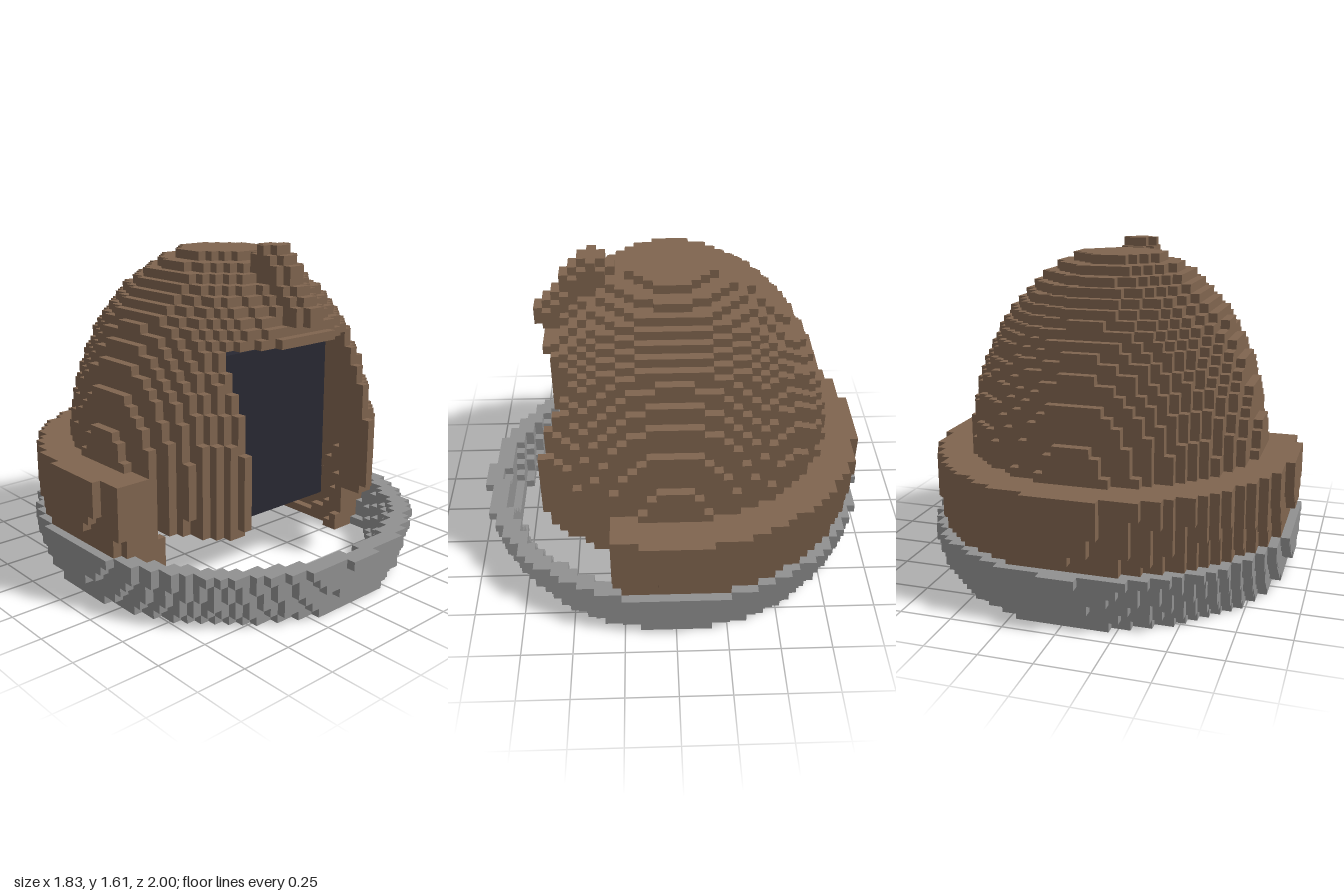
import * as THREE from 'three';

const V = 1 / 23; // edge of one cube
const HALF = 23, ROWS = 37;
const MID = 0.565; // height of the widest level

const ellipse = (x, z, rx, rz) => (x / rx) ** 2 + (z / rz) ** 2;
const ellipsoid = (x, y, z, rx, ry, rz) => ellipse(x, z, rx, rz) + ((y - MID) / ry) ** 2;

// Sloping stone ring at the foot
function inBase(x, y, z, j) {
  if (j > 5) return false;
  const r = [0.915, 0.935, 0.948, 0.96, 0.972, 0.983][j];
  const inner = r - 0.091;
  return ellipse(x, z, r * 0.946, r) <= 1 && ellipse(x, z, inner * 0.946, inner) > 1;
}

// Thick bowl-shaped band round the sides and back, open at the front, reaching down inside the ring
function inCollar(x, y, z, j, k) {
  if (j > 13 || k > 6) return false;
  return ellipsoid(x, y, z, 0.907, 1.21, 0.956) <= 1 && ellipsoid(x, y, z, 0.7, 1.21, 0.74) > 1;
}

// Hollow ellipsoid dome with a doorway cut through the front
function inDome(x, y, z, j) {
  if (j < 8) return false;
  if (ellipsoid(x, y, z, 0.735, 1.02, 0.78) > 1) return false;
  if (ellipsoid(x, y, z, 0.61, 0.9, 0.65) <= 1) return false;
  return !(z > 0.3 && Math.abs(x) < 9 * V && j < 27);
}

// Crest rising above the doorway: first and last cube of each row in z
const crestRows = { 29: [10, 14], 30: [10, 14], 31: [9, 13], 32: [8, 12], 33: [7, 11], 34: [5, 11], 35: [6, 10], 36: [7, 9] };
function inCrest(x, y, z, j, k) {
  const row = crestRows[j];
  if (!row || k < row[0] || k > row[1]) return false;
  const halfWidth = k === row[0] || k === row[1] ? 1 : 2;
  return Math.abs(x) < halfWidth * V;
}

const parts = [
  ['baseRing', inBase, 'stone'],
  ['collar', inCollar, 'wood'],
  ['dome', inDome, 'wood'],
  ['crest', inCrest, 'wood'],
];

// Index of the part that fills a cube, or -1
function partAt(i, j, k) {
  if (j < 0 || j >= ROWS) return -1;
  const x = (i + 0.5) * V, y = (j + 0.5) * V, z = (k + 0.5) * V;
  return parts.findIndex(([, test]) => test(x, y, z, j, k));
}

// Builds one geometry per part from the exposed cube faces
function buildVoxels() {
  const size = 2 * HALF + 2;
  const grid = new Int8Array(size * (ROWS + 2) * size);
  const at = (i, j, k) => ((j + 1) * size + i + HALF + 1) * size + k + HALF + 1;
  for (let j = -1; j <= ROWS; j++)
    for (let i = -HALF - 1; i <= HALF; i++)
      for (let k = -HALF - 1; k <= HALF; k++) grid[at(i, j, k)] = partAt(i, j, k);

  const buffers = parts.map(() => ({ pos: [], nor: [], idx: [] }));
  for (let j = 0; j < ROWS; j++)
    for (let i = -HALF; i < HALF; i++)
      for (let k = -HALF; k < HALF; k++) {
        const id = grid[at(i, j, k)];
        if (id < 0) continue;
        const { pos, nor, idx } = buffers[id];
        for (let axis = 0; axis < 3; axis++)
          for (const s of [-1, 1]) {
            const n = [0, 0, 0];
            n[axis] = s;
            if (grid[at(i + n[0], j + n[1], k + n[2])] >= 0) continue;
            const u = (axis + 1) % 3, w = (axis + 2) % 3, first = pos.length / 3;
            for (const [a, b] of [[0, 0], [1, 0], [1, 1], [0, 1]]) {
              const p = [i, j, k];
              p[axis] += s > 0 ? 1 : 0;
              p[u] += a;
              p[w] += b;
              pos.push(p[0] * V, p[1] * V, p[2] * V);
              nor.push(...n);
            }
            const order = s > 0 ? [0, 1, 2, 0, 2, 3] : [0, 2, 1, 0, 3, 2];
            idx.push(...order.map((o) => first + o));
          }
      }
  return buffers.map(({ pos, nor, idx }) => {
    const g = new THREE.BufferGeometry();
    g.setAttribute('position', new THREE.Float32BufferAttribute(pos, 3));
    g.setAttribute('normal', new THREE.Float32BufferAttribute(nor, 3));
    g.setIndex(idx);
    return g;
  });
}

export function createModel() {
  const group = new THREE.Group();
  const materials = {
    wood: new THREE.MeshStandardMaterial({ color: 0x80654f }),
    stone: new THREE.MeshStandardMaterial({ color: 0x919191 }),
    darkDoor: new THREE.MeshStandardMaterial({ color: 0x282832 }),
  };
  for (const name in materials) materials[name].name = name;

  buildVoxels().forEach((geometry, n) => {
    const [name, , material] = parts[n];
    const mesh = new THREE.Mesh(geometry, materials[material]);
    mesh.name = name;
    group.add(mesh);
  });

  // Dark slab set back in the doorway
  const door = new THREE.Mesh(new THREE.BoxGeometry(16 * V, 19 * V, 5 * V), materials.darkDoor);
  door.name = 'door';
  door.position.set(0, 16.5 * V, 6.5 * V);
  group.add(door);
  return group;
}
